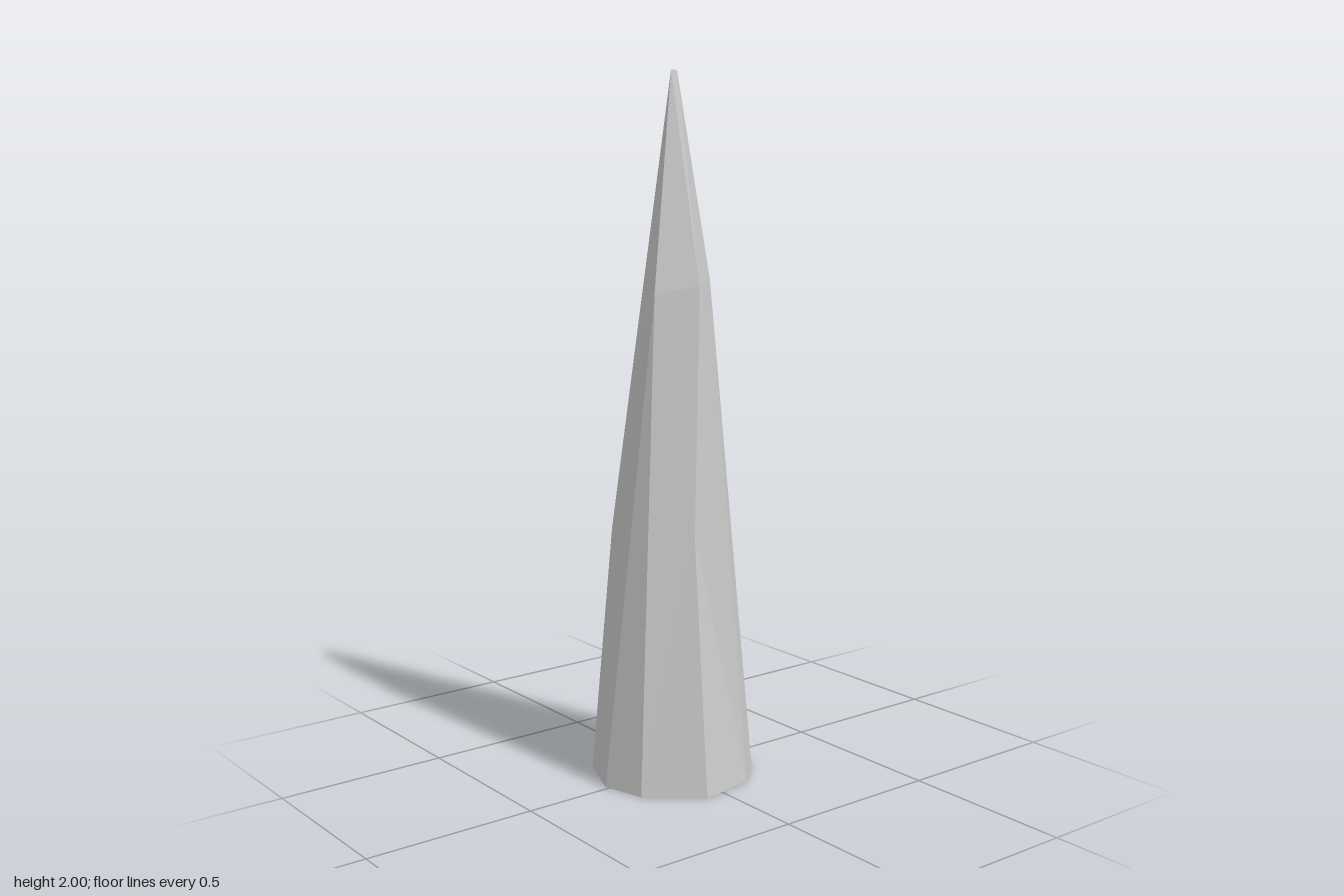
import * as THREE from 'three';

// Base outline, shoulder corners and chisel-like tip of the faceted spike
const base = [
  [0, 0, -0.232], [0.175, 0, -0.16], [0.237, 0, -0.015], [0.202, 0, 0.11], [0.11, 0, 0.197],
  [-0.062, 0, 0.23], [-0.203, 0, 0.11], [-0.238, 0, -0.013], [-0.18, 0, -0.16],
];
const shoulder = {
  back: [-0.048, 0.68, -0.19], backLeft: [0.12, 0.68, -0.15], left: [0.09, 1.43, 0.045],
  front: [-0.006, 1.42, 0.12], notch: [-0.049, 0.73, 0.155],
  right: [-0.105, 1.4, 0.047], backRight: [-0.154, 0.73, -0.09],
};
const tipRight = [-0.018, 2, 0.008], tipLeft = [0.012, 2, -0.004];

export function createModel() {
  const { back, backLeft, left, front, notch, right, backRight } = shoulder;

  // Each corner fans down to a run of base points, then joins its neighbour
  const fans = [
    [back, base[8], base[0], backLeft],
    [backLeft, base[0], base[1], base[2], left],
    [left, base[2], base[3], base[4], front],
    [front, base[4], notch],
    [notch, base[4], base[5], base[6], right, front],
    [right, base[6], base[7], backRight],
    [backRight, base[7], base[8], back],
    // Upper facets meeting at the tip
    [tipLeft, back, backLeft, left, front, tipRight],
    [tipRight, front, right, backRight, back, tipLeft],
  ];

  // Split the fans into triangles that all face away from the axis
  const positions = [];
  for (const [hub, ...rim] of fans) {
    for (let i = 0; i + 1 < rim.length; i++) {
      const [a, b, c] = [hub, rim[i], rim[i + 1]].map((p) => new THREE.Vector3(...p));
      const normal = new THREE.Triangle(a, b, c).getNormal(new THREE.Vector3());
      const outward = a.clone().add(b).add(c).setY(0);
      const corners = normal.dot(outward) > 0 ? [a, b, c] : [a, c, b];
      for (const p of corners) positions.push(p.x, p.y, p.z);
    }
  }
  const geometry = new THREE.BufferGeometry();
  geometry.setAttribute('position', new THREE.Float32BufferAttribute(positions, 3));
  geometry.computeVertexNormals();

  // Open underneath, so the inside shows as well
  const spike = new THREE.Mesh(geometry, new THREE.MeshStandardMaterial({
    color: 0xcccccc, flatShading: true, side: THREE.DoubleSide,
  }));
  spike.name = 'spike';

  const group = new THREE.Group();
  group.name = 'rockSpike';
  group.add(spike);
  return group;
}
